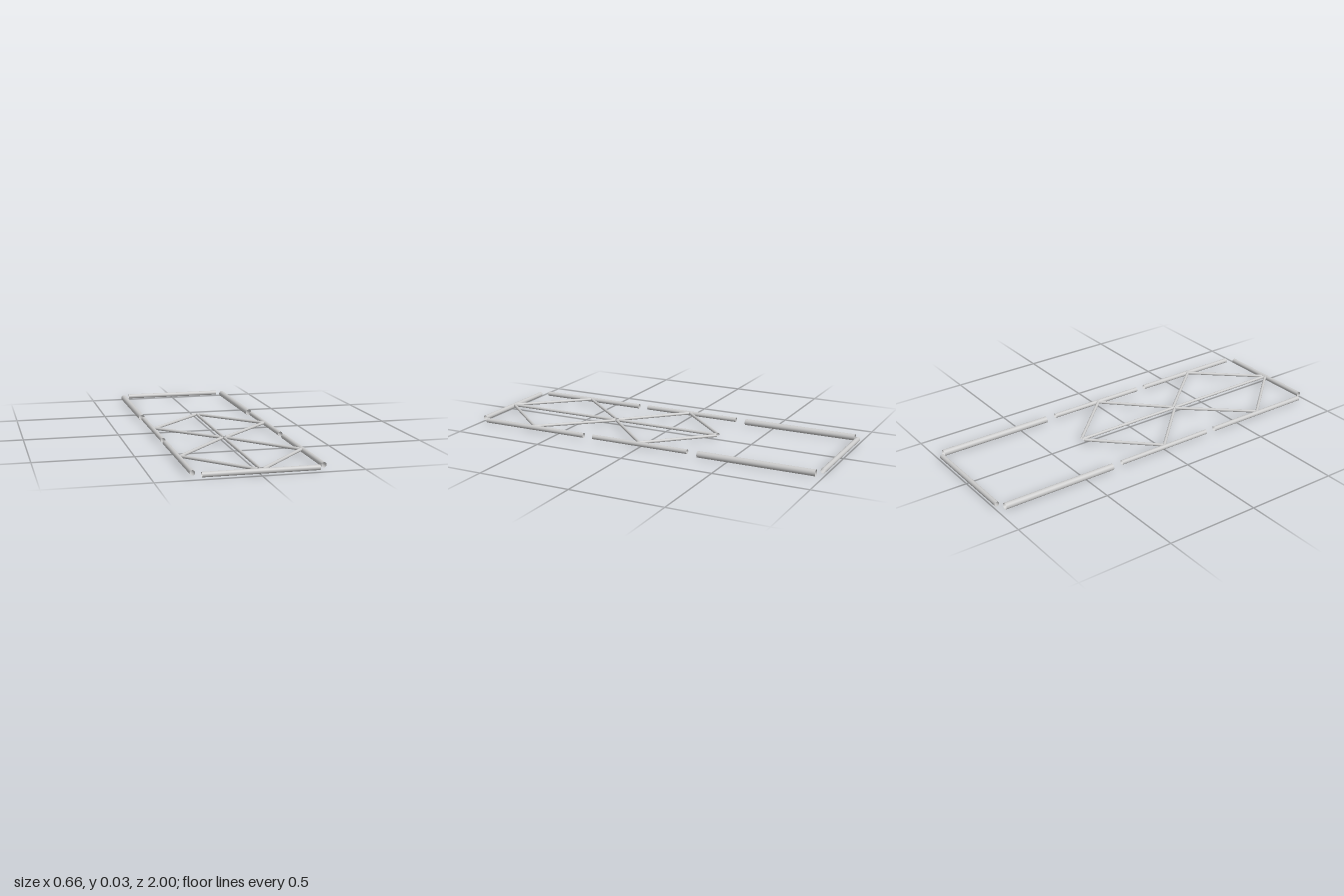
import * as THREE from 'three';

const TOP = 0.0335; // all tubes lie flush along their upper edge

export function createModel() {
  const group = new THREE.Group();
  const material = new THREE.MeshStandardMaterial({ color: 0xcccccc, side: THREE.DoubleSide });
  const up = new THREE.Vector3(0, 1, 0);

  // Open tube between two points given as x, z
  function tube(name, radius, [x1, z1], [x2, z2]) {
    const y = TOP - radius;
    const a = new THREE.Vector3(x1, y, z1);
    const b = new THREE.Vector3(x2, y, z2);
    const dir = b.clone().sub(a);
    const geometry = new THREE.CylinderGeometry(radius, radius, dir.length(), 32, 1, true);
    const mesh = new THREE.Mesh(geometry, material);
    mesh.name = name;
    mesh.position.copy(a).add(b).multiplyScalar(0.5);
    mesh.quaternion.setFromUnitVectors(up, dir.normalize());
    group.add(mesh);
  }

  // End cross bars
  tube('frontCrossBar', 0.0128, [-0.28, 0.987], [0.28, 0.987]);
  tube('rearCrossBar', 0.0128, [-0.28, -0.987], [0.28, -0.987]);

  // Central spine
  tube('frontSpine', 0.0078, [0, 0.308], [0, 0.972]);
  tube('middleSpine', 0.0078, [0, -0.305], [0, 0.298]);

  for (const [side, s] of [['left', 1], ['right', -1]]) {
    // Side rails in three lengths
    const x = s * 0.3135;
    tube(`${side}FrontRail`, 0.0128, [x, 0.328], [x, 0.948]);
    tube(`${side}MiddleRail`, 0.0122, [x, -0.28], [x, 0.272]);
    tube(`${side}RearRail`, 0.01675, [x, -0.963], [x, -0.338]);

    // Diagonal braces from the rails to the spine
    for (const [from, to] of [[0.006, -0.305], [-0.006, 0.297], [0.651, 0.308], [0.639, 0.972]]) {
      tube(`${side}Brace`, 0.0078, [s * 0.309, from], [s * 0.012, to]);
    }
  }
  return group;
}
